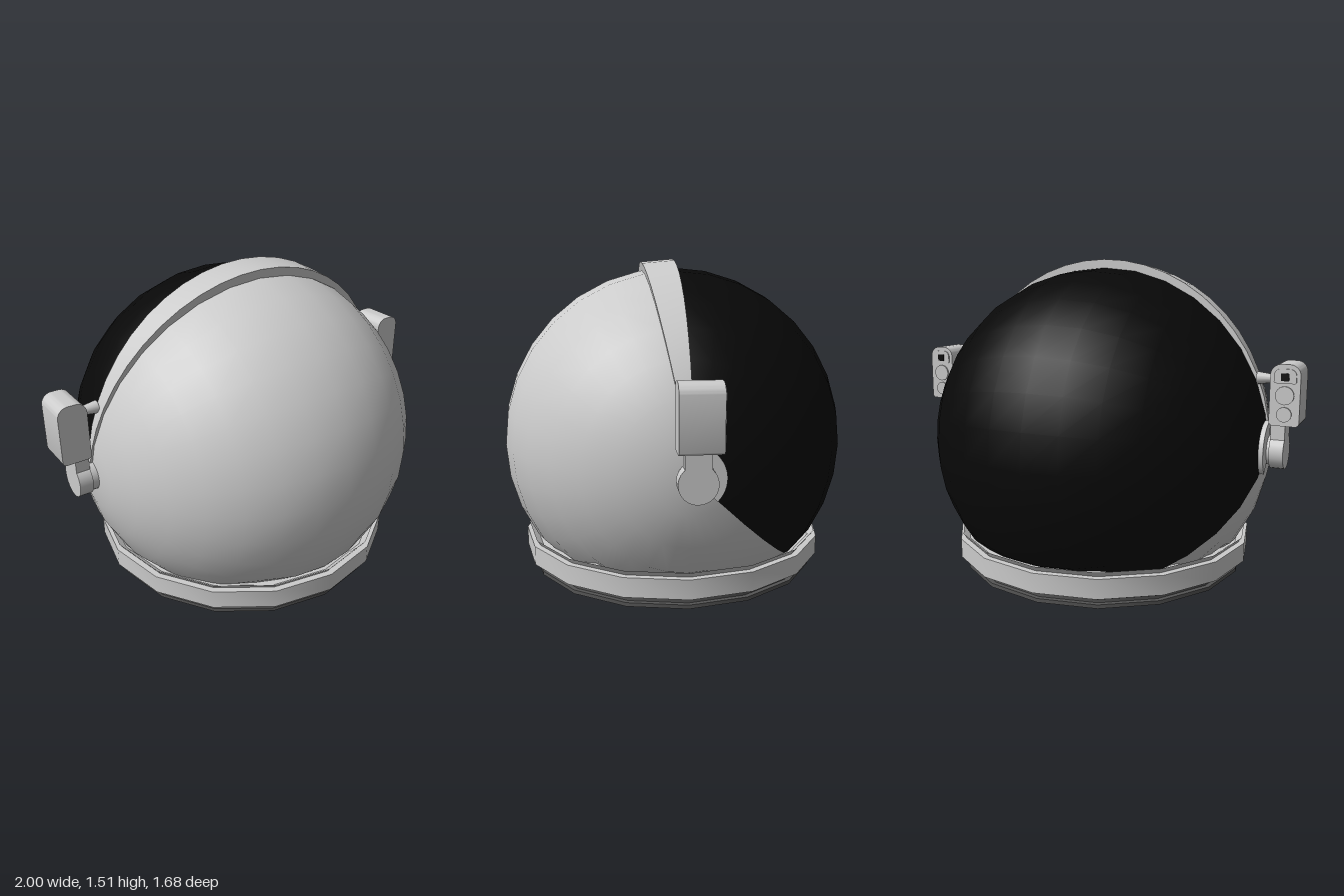
import * as THREE from 'three';
import { toCreasedNormals } from 'three/addons/utils/BufferGeometryUtils.js';

const CY = 0.63; // height of the pivot axis
const grey = new THREE.MeshStandardMaterial({ color: 0xcccccc, side: THREE.DoubleSide });
const dark = new THREE.MeshStandardMaterial({ color: 0x555555, side: THREE.DoubleSide });
const black = new THREE.MeshStandardMaterial({ color: 0x080808, side: THREE.DoubleSide });

function add(parent, name, geometry, material, x = 0, y = 0, z = 0) {
  const mesh = new THREE.Mesh(geometry, material);
  mesh.name = name;
  mesh.position.set(x, y, z);
  parent.add(mesh);
  return mesh;
}

// Sphere sector with its poles on x; angle 0 is up, 90 degrees is the front.
// The underside is flattened where it sits inside the neck ring.
function sector(start, end, segments) {
  const rad = Math.PI / 180;
  const g = new THREE.SphereGeometry(0.838, segments, 16, start * rad, (end - start) * rad);
  g.rotateZ(-Math.PI / 2);
  g.scale(1.008, 1, 1);
  const p = g.attributes.position;
  for (let i = 0; i < p.count; i++) p.setY(i, Math.max(p.getY(i), 0.11 - CY));
  return g;
}

// Wedge-shaped band over the crown, narrowing to the pivots
function browGeometry() {
  const steps = 24, angle = 0.178, verts = [], index = [];
  for (let i = 0; i <= steps; i++) {
    const t = 0.03 + (Math.PI - 0.06) * i / steps;
    for (const [rx, r, a] of [[0.81, 0.81, 0], [0.853, 0.88, 0], [0.853, 0.88, angle], [0.81, 0.81, angle]]) {
      const d = r * Math.sin(t);
      verts.push(rx * Math.cos(t), d * Math.cos(a), d * Math.sin(a));
    }
    if (i === steps) break;
    for (let k = 0; k < 4; k++) {
      const a = i * 4 + k, b = i * 4 + (k + 1) % 4;
      index.push(a, a + 4, b, b, a + 4, b + 4);
    }
  }
  const g = new THREE.BufferGeometry();
  g.setAttribute('position', new THREE.Float32BufferAttribute(verts, 3));
  g.setIndex(index);
  return toCreasedNormals(g, 0.6);
}

function lathe(points) {
  const g = new THREE.LatheGeometry(points.map(([r, y]) => new THREE.Vector2(r, y)), 16);
  return toCreasedNormals(g, 0.5);
}

// Cylinder along x
function disc(radius, length, start = 0, sweep = Math.PI * 2) {
  return new THREE.CylinderGeometry(radius, radius, length, 24, 1, false, start, sweep).rotateZ(Math.PI / 2);
}

// Upright block with large upper corners, extruded along z
function roundedBlock(w, h, depth, top, bottom) {
  const s = new THREE.Shape(), x = w / 2, y = h / 2;
  s.moveTo(-x + bottom, -y);
  s.lineTo(x - bottom, -y);
  s.absarc(x - bottom, -y + bottom, bottom, -Math.PI / 2, 0);
  s.absarc(x - top, y - top, top, 0, Math.PI / 2);
  s.absarc(-x + top, y - top, top, Math.PI / 2, Math.PI);
  s.absarc(-x + bottom, -y + bottom, bottom, Math.PI, Math.PI * 1.5);
  const g = new THREE.ExtrudeGeometry(s, { depth, bevelEnabled: false, curveSegments: 6 });
  g.translate(0, 0, -depth / 2);
  return toCreasedNormals(g, 0.6);
}

function addEarUnit(parent, side) {
  const ear = new THREE.Group();
  ear.name = side > 0 ? 'leftEarUnit' : 'rightEarUnit';
  parent.add(ear);

  // Pivot on the shell
  add(ear, 'pivotPlate', disc(0.137, 0.08, Math.PI / 2, Math.PI * 0.75), grey, side * 0.813, CY);
  add(ear, 'pivotHub', disc(0.07, 0.1), grey, side * 0.83, CY);
  add(ear, 'pivotCap', disc(0.083, 0.065), grey, side * 0.9, CY, -0.007);
  add(ear, 'arm', new THREE.BoxGeometry(0.065, 0.15, 0.11), grey, side * 0.9, 0.705, -0.007);

  // Lamp housing and its link to the brow band
  add(ear, 'housing', roundedBlock(0.135, 0.28, 0.18, 0.05, 0.018), grey, side * 0.932, 0.905, -0.01);
  const link = new THREE.CylinderGeometry(0.016, 0.03, 0.1, 12).rotateZ(side * -Math.PI / 2);
  add(ear, 'link', link, grey, side * 0.835, 0.965);

  // Details on the rear face of the housing
  const x = side * 0.932;
  add(ear, 'switchPlate', roundedBlock(0.1, 0.065, 0.012, 0.03, 0.008), grey, x, 0.992, -0.1);
  add(ear, 'switch', new THREE.BoxGeometry(0.036, 0.034, 0.012), black, x, 0.988, -0.103);
  for (const [r, y] of [[0.042, 0.905], [0.034, 0.819]]) {
    const lens = new THREE.CylinderGeometry(r, r, 0.016, 20).rotateX(Math.PI / 2);
    add(ear, 'lens', lens, grey, x, y, -0.1);
  }
}

export function createModel() {
  const model = new THREE.Group();
  model.name = 'helmet';

  // Spherical shell, visor and crown band
  add(model, 'shell', sector(0, 225, 20), grey, 0, CY);
  add(model, 'visor', sector(225, 360, 12), black, 0, CY);
  add(model, 'browBand', browGeometry(), grey, 0, CY);

  // Neck ring with a flared lip, above a grooved dark base
  add(model, 'neckRing', lathe([
    [0.6, 0.06], [0.75, 0.06], [0.75, 0.152], [0.72, 0.152], [0.738, 0.178], [0.705, 0.152], [0.6, 0.152],
  ]), grey);
  add(model, 'neckBase', lathe([
    [0, 0], [0.712, 0], [0.712, 0.018], [0.69, 0.018], [0.69, 0.042], [0.712, 0.042], [0.712, 0.062], [0.6, 0.062],
  ]), dark);

  for (const side of [1, -1]) addEarUnit(model, side);
  return model;
}
